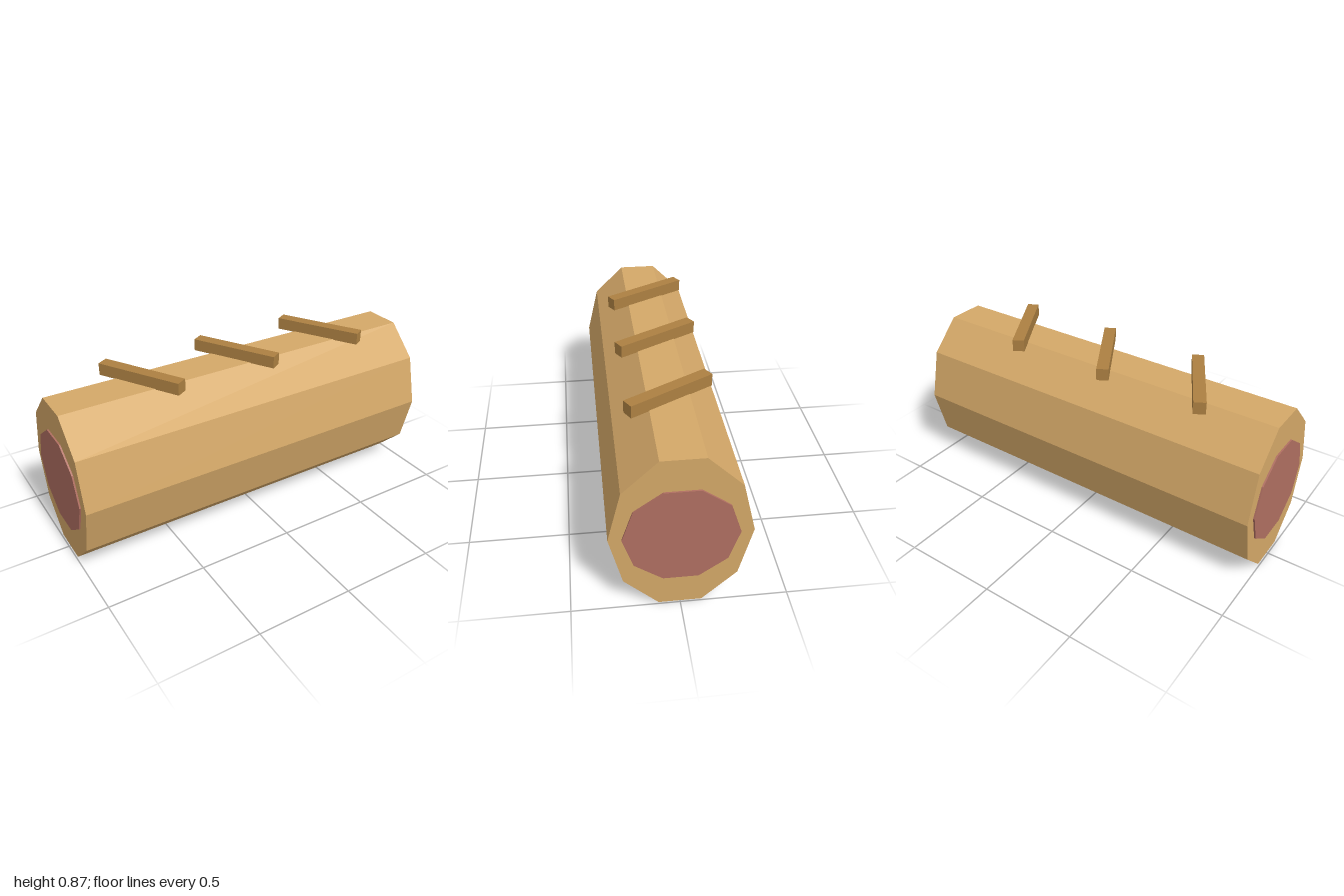
import * as THREE from 'three';

const crust = new THREE.MeshStandardMaterial({ color: 0xd4a868 });
crust.name = 'golden crust';
const filling = new THREE.MeshStandardMaterial({ color: 0xb06f61 });
filling.name = 'reddish filling';
const slash = new THREE.MeshStandardMaterial({ color: 0xac8042 });
slash.name = 'brown slash';

const MID_Y = 0.407;

// Ten-sided prism lying along x, with corners pointing to +z and -z
function prism(name, ry, rz, length, material) {
  const half = length / 2;
  const ring = Array.from({ length: 10 }, (_, i) => {
    const a = (i * Math.PI) / 5;
    return new THREE.Vector2(rz * Math.cos(a), ry * Math.sin(a));
  });
  const geometry = new THREE.ExtrudeGeometry(new THREE.Shape(ring), { depth: length, bevelEnabled: false });
  geometry.translate(0, 0, -half);
  geometry.rotateY(Math.PI / 2);
  const mesh = new THREE.Mesh(geometry, material);
  mesh.name = name;
  mesh.position.y = MID_Y;
  return mesh;
}

export function createModel() {
  const group = new THREE.Group();
  group.name = 'filledRoll';

  // Roll body
  group.add(prism('rollBody', 0.428, 0.32, 1.984, crust));

  // Filling showing at both ends
  for (const side of [-1, 1]) {
    const disc = prism(side > 0 ? 'leftFilling' : 'rightFilling', 0.259, 0.26, 0.009, filling);
    disc.position.x = side * 0.9955;
    group.add(disc);
  }

  // Slanted slashes across the top
  const bar = new THREE.BoxGeometry(0.06, 0.062, 0.457);
  for (let i = -1; i <= 1; i++) {
    const mesh = new THREE.Mesh(bar, slash);
    mesh.name = 'topSlash' + (i + 2);
    mesh.position.set(i * 0.534, 0.842, 0);
    mesh.rotation.y = Math.PI / 6;
    group.add(mesh);
  }
  return group;
}
